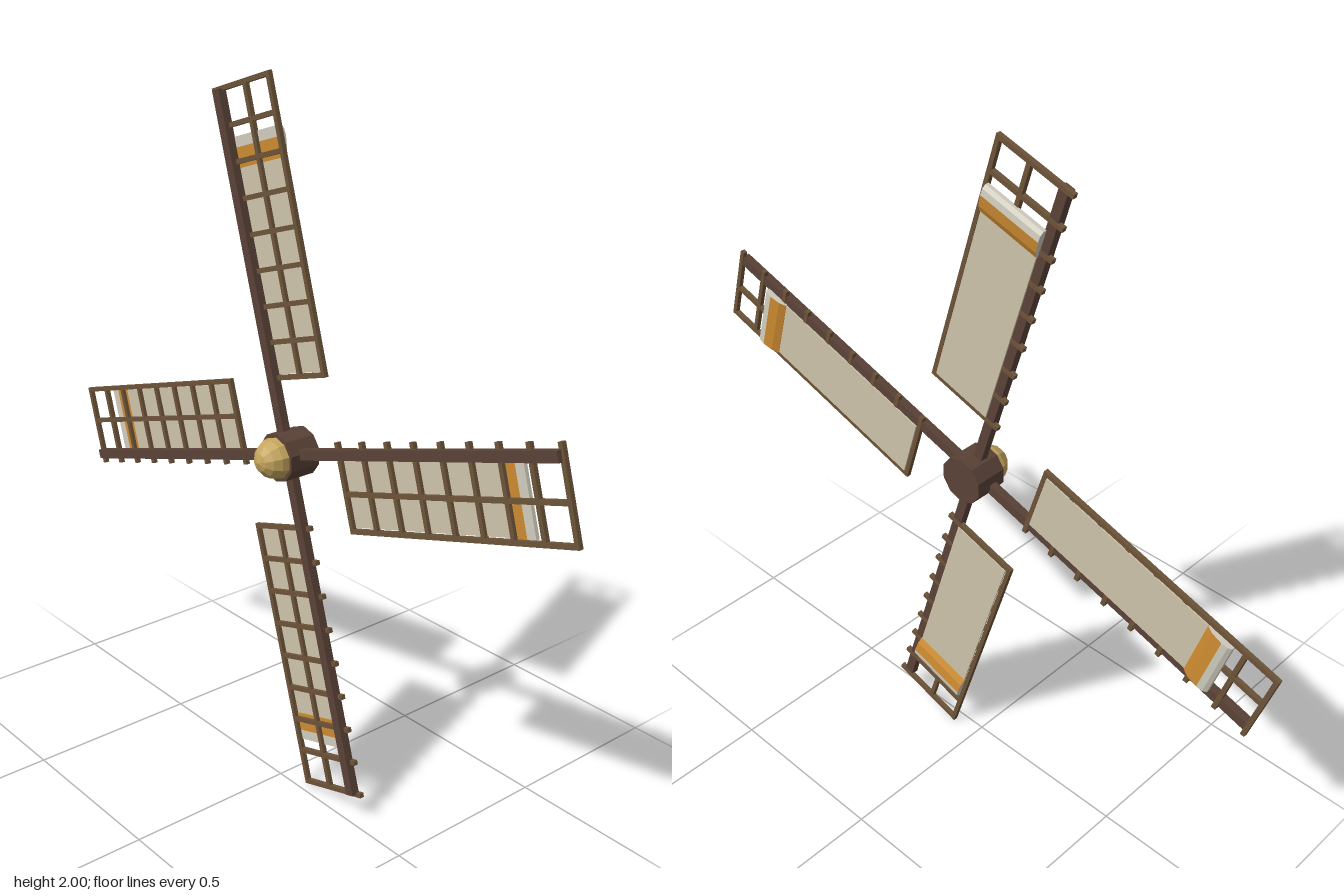
import * as THREE from 'three';

const mat = (name, color, extra = {}) => {
  const m = new THREE.MeshStandardMaterial({ color, ...extra });
  m.name = name;
  return m;
};

export function createModel() {
  const darkWood = mat('dark wood', 0x5a4237, { flatShading: true });
  const latticeWood = mat('lattice wood', 0x6c5339, { flatShading: true });
  const canvas = mat('canvas', 0xcdc3aa, { flatShading: true });
  const ochre = mat('ochre stripe', 0xcb8a30, { flatShading: true });
  const paleCloth = mat('pale cloth', 0xd0ccbe, { flatShading: true });
  const brass = mat('brass', 0xc4a55c, { flatShading: true });

  const model = new THREE.Group();
  model.name = 'windmillSails';

  const add = (parent, name, geometry, material) => {
    const mesh = new THREE.Mesh(geometry, material);
    mesh.name = name;
    parent.add(mesh);
    return mesh;
  };
  // Box given by its limits on each axis
  const box = (parent, name, material, [x0, x1], [y0, y1], [z0, z1]) => {
    const g = new THREE.BoxGeometry(x1 - x0, y1 - y0, z1 - z0);
    g.translate((x0 + x1) / 2, (y0 + y1) / 2, (z0 + z1) / 2);
    return add(parent, name, g, material);
  };
  // Cloth profile of (radius, depth) points, swept across the blade along +x
  const sweep = (parent, name, points, materials, x0, x1) => {
    const shape = new THREE.Shape(points.map(([r, z]) => new THREE.Vector2(r, z)));
    const g = new THREE.ExtrudeGeometry(shape, { depth: x1 - x0, bevelEnabled: false });
    // shape x -> y, shape y -> z, depth -> x
    g.applyMatrix4(new THREE.Matrix4().set(0, 0, 1, x0, 1, 0, 0, 0, 0, 1, 0, 0, 0, 0, 0, 1));
    return add(parent, name, g, materials);
  };

  // Hub and nose cap
  const hub = new THREE.CylinderGeometry(0.068, 0.068, 0.096, 10);
  hub.rotateX(Math.PI / 2).translate(0, 0, -0.032);
  const hubGroup = new THREE.Group();
  hubGroup.name = 'hub';
  hubGroup.position.y = 1;
  add(hubGroup, 'hubDrum', hub, darkWood);
  const noseProfile = [[0.058, 0], [0.055, 0.02], [0.043, 0.042], [0.025, 0.057], [0, 0.065]]
    .map(([r, h]) => new THREE.Vector2(r, h));
  const nose = new THREE.LatheGeometry(noseProfile, 10);
  nose.rotateX(Math.PI / 2).translate(0, 0, 0.015);
  add(hubGroup, 'noseCap', nose, brass);
  model.add(hubGroup);

  // Four identical blades, each built pointing up with its sail toward +x
  const barZ = [-0.039, -0.026], half = 0.0065;
  const inner = 0.208, outer = 0.973, right = 0.207;
  for (let i = 0; i < 4; i++) {
    const blade = new THREE.Group();
    blade.name = 'blade';
    blade.position.y = 1;
    blade.rotation.z = THREE.MathUtils.degToRad(17) + i * Math.PI / 2;

    box(blade, 'spar', darkWood, [-0.014, 0.014], [0.04, 0.972], [-0.037, -0.013]);

    // Cross bars poke out past the spar
    for (let k = 0; k < 9; k++) {
      const y = inner + (outer - inner) * k / 8;
      box(blade, 'crossBar', latticeWood, [-0.031, right + half], [y - half, y + half], barZ);
    }
    for (const x of [0.107, right]) {
      box(blade, 'longBar', latticeWood, [x - half, x + half], [inner, outer], barZ);
    }

    // Sailcloth with a striped, furled end bulging to the back
    box(blade, 'sailcloth', canvas, [0.012, 0.198], [0.216, 0.765], [-0.041, -0.036]);
    sweep(blade, 'sailStripe',
      [[0.765, -0.036], [0.765, -0.042], [0.785, -0.052], [0.818, -0.056], [0.818, -0.036]],
      [paleCloth, ochre], 0.01, 0.2);
    sweep(blade, 'sailFurl',
      [[0.818, -0.036], [0.818, -0.056], [0.836, -0.054], [0.846, -0.047], [0.846, -0.036]],
      paleCloth, 0.01, 0.2);

    model.add(blade);
  }
  return model;
}
